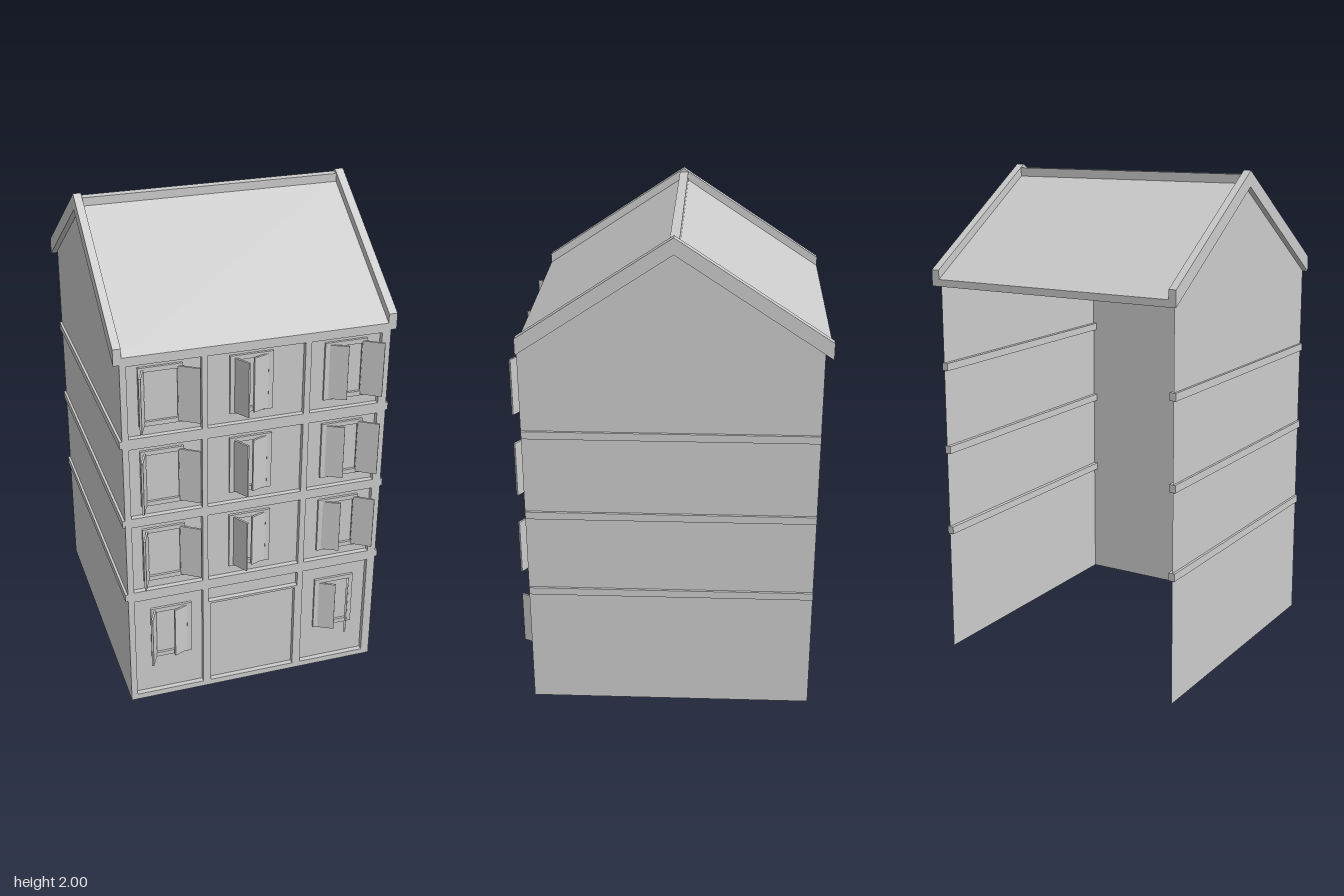
import * as THREE from 'three';

const material = new THREE.MeshStandardMaterial({ color: 0xcccccc, flatShading: true, side: THREE.DoubleSide });
const FRONT = 0.557, BACK = -0.59, PANEL = 0.536, RIDGE = -0.03;

function add(parent, name, geometry) {
  const mesh = new THREE.Mesh(geometry, material);
  mesh.name = name;
  parent.add(mesh);
  return mesh;
}

// Box given by its limits on each axis
function box(parent, name, x0, x1, y0, y1, z0, z1) {
  const g = new THREE.BoxGeometry(x1 - x0, y1 - y0, z1 - z0);
  return add(parent, name, g.translate((x0 + x1) / 2, (y0 + y1) / 2, (z0 + z1) / 2));
}

const polygon = (pts) => new THREE.Shape(pts.map((p) => new THREE.Vector2(p[0], p[1])));

function rectHole(x0, x1, y0, y1) {
  return new THREE.Path([[x0, y0], [x1, y0], [x1, y1], [x0, y1]].map((p) => new THREE.Vector2(p[0], p[1])));
}

// Flat frame in the facade: outer rectangle with holes
function frame(parent, name, outer, holes, z0, z1) {
  const [a, b, c, d] = outer;
  const shape = polygon([[a, c], [b, c], [b, d], [a, d]]);
  holes.forEach((h) => shape.holes.push(rectHole(...h)));
  const g = new THREE.ExtrudeGeometry(shape, { depth: z1 - z0, bevelEnabled: false });
  return add(parent, name, g.translate(0, 0, z0));
}

// Chevron section (z, y) running along x; top is the drop below the gable trim
function chevron(parent, name, x0, x1, drop) {
  const half = 0.59;
  const section = polygon([
    [RIDGE - half, 1.545], [RIDGE, 1.937], [RIDGE + half, 1.545],
    [RIDGE + half, 1.61 - drop], [RIDGE, 2 - drop], [RIDGE - half, 1.61 - drop],
  ]);
  const g = new THREE.ExtrudeGeometry(section, { depth: x1 - x0, bevelEnabled: false });
  g.rotateY(-Math.PI / 2).scale(-1, 1, 1);
  // The mirror turns the faces over, so the section is turned back about y
  g.scale(-1, 1, 1).translate(x1, 0, 0);
  return add(parent, name, g);
}

// Sash leaf standing between two points in plan
function sash(parent, name, hinge, tip, y0, y1) {
  const dx = tip[0] - hinge[0], dz = tip[1] - hinge[1], w = Math.hypot(dx, dz);
  const leaf = add(parent, name, new THREE.BoxGeometry(w, y1 - y0, 0.008));
  leaf.position.set((hinge[0] + tip[0]) / 2, (y0 + y1) / 2, (hinge[1] + tip[1]) / 2);
  leaf.rotation.y = -Math.atan2(dz, dx);
}

// Window: raised surround, pane and two open leaves
function addWindow(parent, x0, y0, leftTip, rightTip, drop = 0) {
  const w = 0.17, h = 0.242, b = 0.019;
  const group = new THREE.Group();
  group.name = 'window';
  parent.add(group);
  const inner = [x0 + b, x0 + w - b, y0 + b, y0 + h - b];
  frame(group, 'windowFrame', [x0, x0 + w, y0, y0 + h], [inner], PANEL, PANEL + 0.01);
  const s0 = y0 + 0.005 - drop, s1 = y0 + h - 0.01 - drop;
  sash(group, 'leftSash', [x0 + b, 0.541], leftTip, s0, s1);
  sash(group, 'rightSash', [x0 + w - b, 0.541], rightTip, s0, s1);
}

export function createModel() {
  const model = new THREE.Group();
  model.name = 'townhouse';

  // Facade grid with a recessed panel in every bay
  const columns = [[-0.505, -0.22], [-0.198, 0.186], [0.21, 0.495]];
  const rows = [[0.025, 0.495], [0.54, 0.846], [0.886, 1.19], [1.235, 1.535]];
  const holes = [];
  rows.forEach(([y0, y1], r) => columns.forEach(([x0, x1], c) => {
    if (r === 0 && c === 1) holes.push([-0.188, 0.176, 0.025, 0.42], [x0, x1, 0.43, y1]);
    else holes.push([x0, x1, y0, y1]);
  }));
  frame(model, 'facadeGrid', [-0.53, 0.53, 0, 1.548], holes, PANEL, FRONT);
  holes.forEach(([x0, x1, y0, y1]) => {
    const g = new THREE.PlaneGeometry(x1 - x0, y1 - y0);
    add(model, 'facadePanel', g.translate((x0 + x1) / 2, (y0 + y1) / 2, PANEL));
  });

  // Upper windows, one set per storey
  [0.578, 0.926, 1.274].forEach((y) => {
    addWindow(model, -0.46, y, [-0.47, 0.612], [-0.235, 0.59]);
    addWindow(model, -0.107, y, [-0.05, 0.602], [-0.02, 0.565]);
    addWindow(model, 0.27, y, [0.355, 0.575], [0.495, 0.59]);
  });
  // Ground floor windows
  addWindow(model, -0.436, 0.193, [-0.448, 0.606], [-0.343, 0.565]);
  addWindow(model, 0.27, 0.186, [0.352, 0.575], [0.387, 0.61], 0.008);

  // Thin gabled side walls with floor rails; the back stays open
  const slope = (z) => 1.937 - Math.abs(z - RIDGE) * 0.664;
  const wall = polygon([[BACK, 0], [FRONT, 0], [FRONT, slope(FRONT)], [RIDGE, 1.937], [BACK, slope(BACK)]]);
  [-1, 1].forEach((side) => {
    const g = new THREE.ShapeGeometry(wall).rotateY(-Math.PI / 2);
    add(model, side > 0 ? 'leftWall' : 'rightWall', g.translate(side * 0.53, 0, 0));
    [0.503, 0.85, 1.198].forEach((y) => {
      const xs = [side * 0.513, side * 0.54].sort((a, b) => a - b);
      box(model, 'floorRail', xs[0], xs[1], y, y + 0.031, BACK, FRONT - 0.002);
    });
  });

  // Roof slab, raised gable trims and ridge bar
  chevron(model, 'roofSlab', -0.522, 0.517, 0.037);
  chevron(model, 'rightGableTrim', -0.553, -0.522, 0);
  chevron(model, 'leftGableTrim', 0.517, 0.551, 0);
  box(model, 'ridgeBar', -0.522, 0.517, 1.95, 1.985, -0.05, -0.014);

  // Centre the depth on the origin
  const bounds = new THREE.Box3().setFromObject(model);
  const shift = -(bounds.min.z + bounds.max.z) / 2;
  model.children.forEach((part) => { part.position.z += shift; });
  return model;
}
